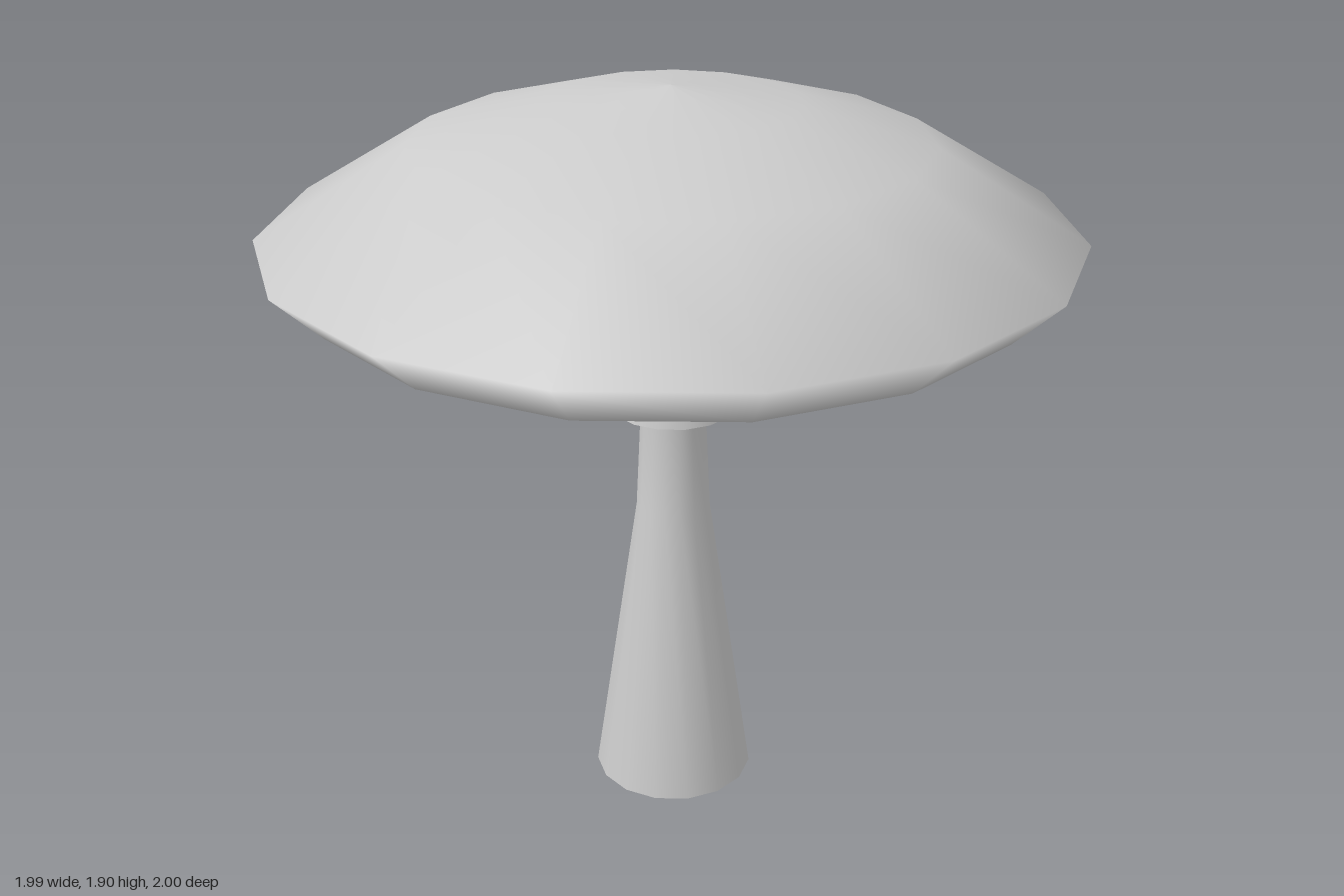
import * as THREE from 'three';

const SIDES = 15;
const material = new THREE.MeshStandardMaterial({ color: 0xcccccc });
const openMaterial = new THREE.MeshStandardMaterial({ color: 0xcccccc, side: THREE.DoubleSide });

// Smooth turned surface from [radius, height] pairs, bottom to top, with a corner on +x
function turned(name, profile, mat = material) {
  const points = profile.map(([r, y]) => new THREE.Vector2(r, y));
  const mesh = new THREE.Mesh(new THREE.LatheGeometry(points, SIDES, Math.PI / 2), mat);
  mesh.name = name;
  return mesh;
}

export function createModel() {
  const model = new THREE.Group();
  model.name = 'mushroom';

  // Cap: rounded dome with a bevelled rim and a flat underside
  const cap = new THREE.Group();
  cap.name = 'cap';
  cap.add(
    turned('capDome', [[0.888, 1.43], [1.0055, 1.545], [0.635, 1.77], [0.315, 1.86], [0, 1.9]]),
    turned('capUnderside', [[0, 1.43], [0.888, 1.43]])
  );
  cap.position.x = -0.011;

  // Stalk: flared foot, slim neck, closed base and an open hanging skirt
  const stalk = new THREE.Group();
  stalk.name = 'stalk';
  stalk.add(
    turned('stem', [[0.212, 0], [0.096, 0.8], [0.083, 1.08], [0.08, 1.45]]),
    turned('stemBase', [[0, 0], [0.212, 0]]),
    turned('skirt', [[0.161, 1.08], [0.083, 1.43]], openMaterial)
  );
  stalk.position.x = -0.005;

  model.add(cap, stalk);
  return model;
}
